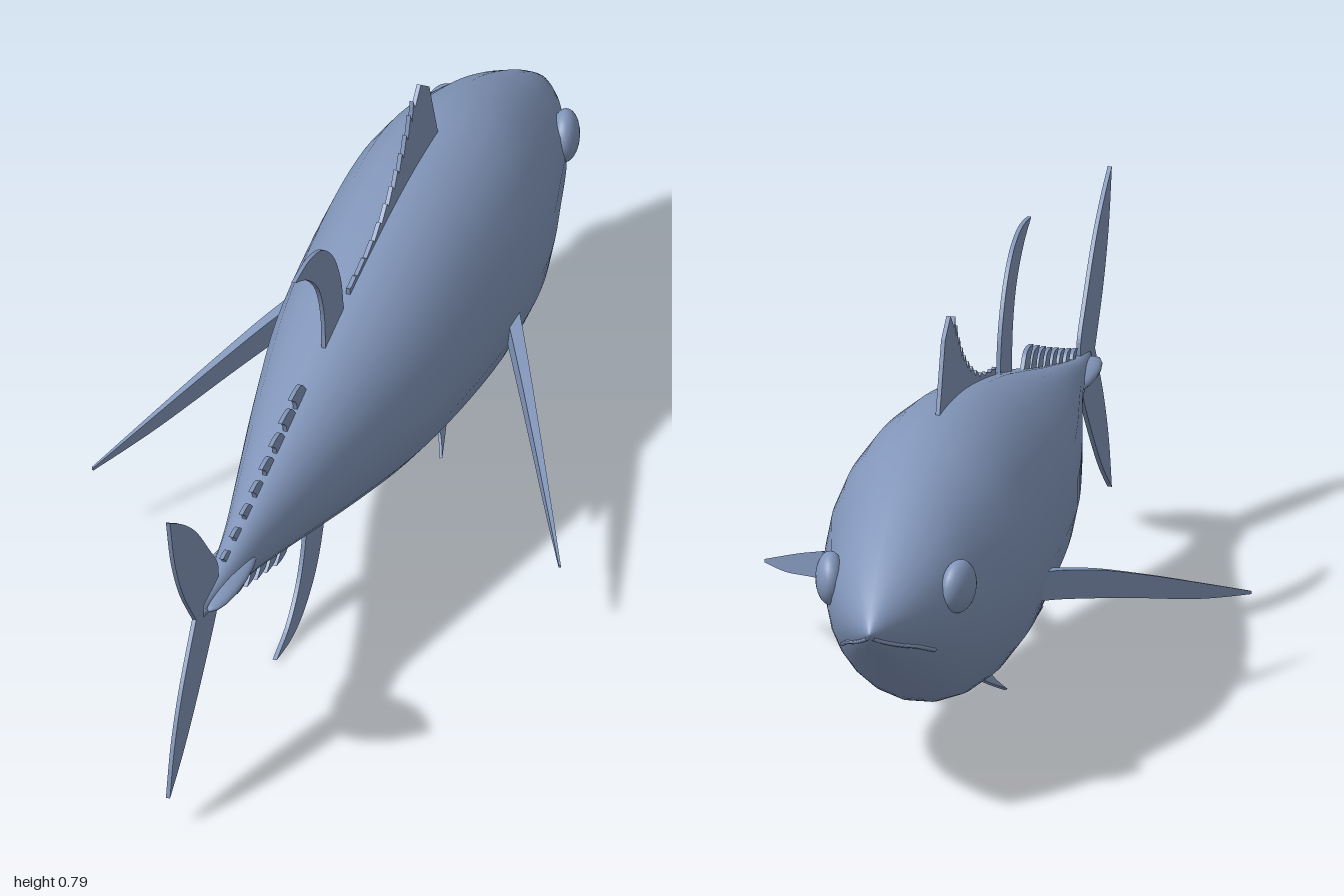
import * as THREE from 'three';

// Body stations: z, top y, bottom y, half width
const STATIONS = [
  [-1, 0.377, 0.373, 0.002], [-0.97, 0.408, 0.343, 0.028], [-0.9, 0.46, 0.293, 0.075],
  [-0.8, 0.52, 0.225, 0.122], [-0.68, 0.578, 0.16, 0.155], [-0.54, 0.62, 0.112, 0.188],
  [-0.4, 0.632, 0.098, 0.196], [-0.22, 0.62, 0.11, 0.188], [0, 0.58, 0.15, 0.168],
  [0.2, 0.53, 0.2, 0.13], [0.4, 0.477, 0.257, 0.085], [0.58, 0.432, 0.308, 0.045],
  [0.7, 0.405, 0.337, 0.026], [0.82, 0.386, 0.356, 0.008],
];
const heights = new THREE.CatmullRomCurve3(
  STATIONS.map(([z, t, b]) => new THREE.Vector3(t, b, z)), false, 'catmullrom', 0.5);
const widths = new THREE.CatmullRomCurve3(
  STATIONS.map(([z, , , w]) => new THREE.Vector3(w, 0, z)), false, 'catmullrom', 0.5);

function section(t) {
  const h = heights.getPoint(t);
  return { z: h.z, top: h.x, bottom: h.y, w: Math.max(0.001, widths.getPoint(t).x) };
}

function sectionAt(z) {
  let lo = 0, hi = 1;
  for (let i = 0; i < 30; i++) {
    const mid = (lo + hi) / 2;
    if (section(mid).z < z) lo = mid; else hi = mid;
  }
  return section(lo);
}

// Half width of the body at a given height
function surfaceX(z, y) {
  const s = sectionAt(z);
  const k = (y - (s.top + s.bottom) / 2) / ((s.top - s.bottom) / 2);
  return s.w * Math.sqrt(Math.max(0, 1 - k * k));
}

// Elliptical rings lofted from snout to tail root
function bodyGeometry(rings = 52, sides = 24) {
  const pos = [], index = [];
  for (let i = 0; i <= rings; i++) {
    const s = section(i / rings);
    for (let j = 0; j < sides; j++) {
      const a = ((j + 0.5) / sides) * Math.PI * 2;
      pos.push(s.w * Math.cos(a),
        (s.top + s.bottom) / 2 + (s.top - s.bottom) / 2 * Math.sin(a), s.z);
    }
  }
  for (let i = 0; i < rings; i++) for (let j = 0; j < sides; j++) {
    const k = (j + 1) % sides;
    const a = i * sides + j, b = i * sides + k, c = a + sides, d = b + sides;
    index.push(a, b, c, b, d, c);
  }
  for (let j = 1; j < sides - 1; j++) {
    const e = rings * sides;
    index.push(0, j + 1, j, e, e + j, e + j + 1);
  }
  const g = new THREE.BufferGeometry();
  g.setAttribute('position', new THREE.Float32BufferAttribute(pos, 3));
  g.setIndex(index);
  g.computeVertexNormals();
  return g;
}

// Closed outline: each run of points is a smooth curve, runs meet at corners
function outline(...runs) {
  const v = (p) => new THREE.Vector2(p[0], p[1]);
  const shape = new THREE.Shape();
  shape.moveTo(...runs[0][0]);
  runs.forEach((run, i) => {
    if (i > 0) shape.lineTo(...run[0]);
    if (run.length > 2) shape.splineThru(run.slice(1).map(v));
    else run.slice(1).forEach((p) => shape.lineTo(...p));
  });
  return shape;
}

// Plate centred on its own plane
function plate(shape, depth) {
  return new THREE.ExtrudeGeometry(shape, { depth, bevelEnabled: false, curveSegments: 6 })
    .translate(0, 0, -depth / 2);
}

// Upright fin whose outline is given as (z, y)
const uprightFin = (shape, depth = 0.008) => plate(shape, depth).rotateY(-Math.PI / 2);

export function createModel() {
  const model = new THREE.Group();
  const skin = new THREE.MeshStandardMaterial({ color: 0x8296ba, side: THREE.DoubleSide });
  skin.name = 'blue grey skin';
  const add = (name, geometry) => {
    const mesh = new THREE.Mesh(geometry, skin);
    mesh.name = name;
    model.add(mesh);
    return mesh;
  };
  const addPair = (name, geometry) => {
    add('left' + name, geometry);
    add('right' + name, geometry).scale.x = -1;
  };

  add('body', bodyGeometry());

  // Tail fin
  add('tailFin', uprightFin(outline(
    [[0.74, 0.39], [0.745, 0.43], [0.79, 0.49], [0.86, 0.575], [0.93, 0.637], [1, 0.685]],
    [[1, 0.685], [0.975, 0.58], [0.93, 0.48], [0.86, 0.378]],
    [[0.86, 0.378], [0.93, 0.27], [0.975, 0.17], [1, 0.07]],
    [[1, 0.07], [0.93, 0.125], [0.86, 0.195], [0.79, 0.275], [0.745, 0.335], [0.74, 0.37]])));

  // First dorsal fin with a serrated trailing edge
  const sail = new THREE.Shape();
  sail.moveTo(-0.44, 0.6);
  sail.lineTo(-0.43, 0.632);
  sail.lineTo(-0.385, 0.76);
  sail.lineTo(-0.34, 0.793);
  const ridge = new THREE.SplineCurve([[-0.305, 0.775], [-0.25, 0.705], [-0.18, 0.65],
    [-0.08, 0.605], [0.035, 0.583]].map((p) => new THREE.Vector2(...p)));
  for (let i = 0; i <= 11; i++) {
    const p = ridge.getPoint(i / 11), tooth = 0.014 * (1 - i / 12);
    sail.lineTo(p.x - 0.004, p.y - tooth);
    sail.lineTo(p.x + 0.004, p.y + tooth * 0.4);
  }
  sail.lineTo(0.035, 0.55);
  add('firstDorsalFin', uprightFin(sail));

  // Sickle-shaped second dorsal and anal fins
  add('secondDorsalFin', uprightFin(outline(
    [[0.07, 0.54], [0.085, 0.63], [0.125, 0.71], [0.185, 0.765], [0.255, 0.788], [0.33, 0.786]],
    [[0.33, 0.786], [0.265, 0.75], [0.205, 0.69], [0.175, 0.61], [0.17, 0.52]])));
  add('analFin', uprightFin(outline(
    [[0.165, 0.23], [0.175, 0.16], [0.215, 0.08], [0.28, 0.025], [0.35, 0.004], [0.43, 0.008]],
    [[0.43, 0.008], [0.36, 0.04], [0.305, 0.1], [0.275, 0.175], [0.27, 0.25]])));

  // Rows of hooked finlets above and below the tail stalk
  for (const side of [1, -1]) {
    const count = side > 0 ? 8 : 7;
    for (let i = 0; i < count; i++) {
      const z = (side > 0 ? 0.265 : 0.345) + i * 0.0575;
      const size = 1 - i * 0.06;
      const base = (q) => {
        const s = sectionAt(q);
        return side > 0 ? s.top - 0.012 : s.bottom + 0.012;
      };
      const y = base(z), l = 0.085 * size, h = 0.048 * size * side;
      add(side > 0 ? 'upperFinlet' : 'lowerFinlet', uprightFin(outline(
        [[z, y], [z + l * 0.3, y + h * 0.65], [z + l * 0.6, y + h * 0.8], [z + l, y + h * 0.72]],
        [[z + l, y + h * 0.72], [z + l * 0.72, y + h * 0.3], [z + l * 0.62, base(z + l * 0.62)]])));
    }
  }

  // Long pectoral fins, thinning towards the tip
  const dx = 0.285, dz = 0.52, length = Math.hypot(dx, dz);
  const pectoral = plate(outline(
    [[-0.02, 0.27], [-0.01, 0.32], [0.14, 0.295], [0.3, 0.248], [0.46, 0.195], [length, 0.15]],
    [[length, 0.144], [0.44, 0.17], [0.24, 0.218], [0.06, 0.257], [-0.02, 0.27]]), 0.026);
  const pp = pectoral.attributes.position;
  for (let i = 0; i < pp.count; i++) {
    pp.setZ(i, pp.getZ(i) * (1 - 0.85 * Math.max(0, pp.getX(i)) / length));
  }
  pectoral.rotateY(-Math.atan2(dz, dx)).translate(0.172, 0, -0.365);
  pectoral.computeVertexNormals();
  addPair('PectoralFin', pectoral);

  // Small pelvic fins splayed outward
  const pelvic = uprightFin(outline(
    [[-0.38, 0.02], [-0.31, -0.025], [-0.23, -0.066]],
    [[-0.23, -0.066], [-0.265, -0.03], [-0.28, 0.02]]), 0.006);
  addPair('PelvicFin', pelvic.rotateZ(0.5).translate(0.052, 0.107, 0));

  // Eyes
  addPair('Eye', new THREE.SphereGeometry(0.05, 24, 16).scale(0.55, 1, 1)
    .rotateY(0.25).translate(0.121, 0.415, -0.79));

  // Side keels on the tail stalk
  addPair('Keel', new THREE.SphereGeometry(1, 16, 12).scale(0.03, 0.014, 0.12)
    .translate(0.014, 0.373, 0.7));

  // Mouth line following the body surface
  const lip = [[-0.992, 0.366], [-0.965, 0.352], [-0.93, 0.338], [-0.89, 0.325], [-0.84, 0.305]]
    .map(([z, y]) => new THREE.Vector3(surfaceX(z, y), y, z));
  addPair('MouthLine', new THREE.TubeGeometry(new THREE.CatmullRomCurve3(lip), 20, 0.004, 6));

  return model;
}
